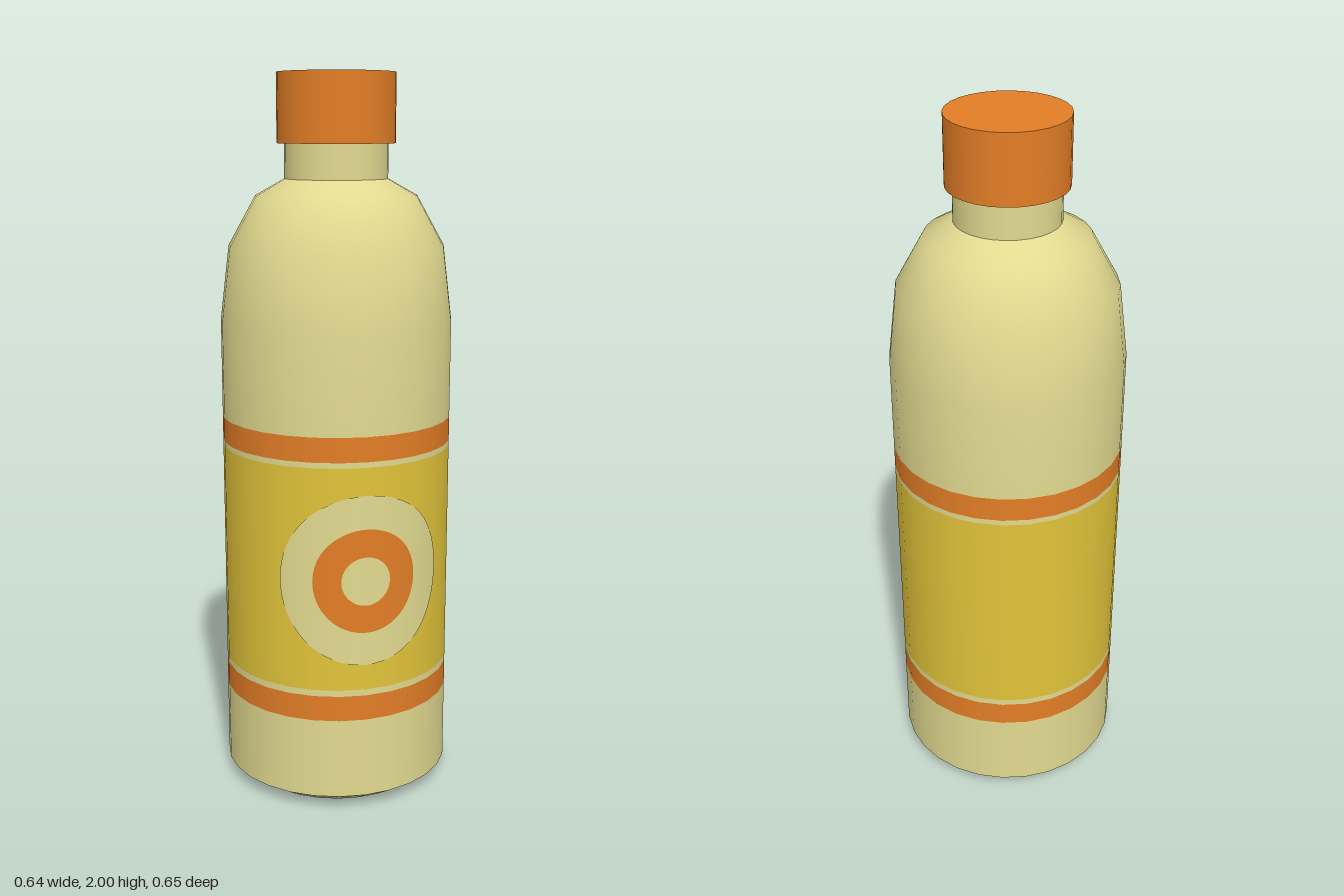
import * as THREE from 'three';

const SIDES = 28;
const R = 0.322;

export function createModel() {
  const model = new THREE.Group();
  model.name = 'bottle';

  const material = (name, color) => {
    const m = new THREE.MeshStandardMaterial({ color });
    m.name = name;
    return m;
  };
  const cream = material('cream', 0xe2da90);
  const yellow = material('yellow', 0xe2c43a);
  const orange = material('orange', 0xe37e26);

  const add = (name, geometry, mat) => {
    const mesh = new THREE.Mesh(geometry, mat);
    mesh.name = name;
    model.add(mesh);
  };
  // Profiles run upward as [radius, height] pairs
  const turn = (name, profile, mat) => add(name,
    new THREE.LatheGeometry(profile.map(([r, y]) => new THREE.Vector2(r, y)), SIDES), mat);
  const band = (name, y0, y1, mat, r = R) => turn(name, [[r, y0], [r, y1]], mat);

  // Base with chamfered foot
  turn('base', [[0, 0], [0.26, 0], [R, 0.04]], cream);

  // Straight body, split into its coloured bands
  band('lowerBody', 0.04, 0.268, cream);
  band('lowerOrangeBand', 0.268, 0.34, orange);
  band('lowerCreamStripe', 0.34, 0.358, cream);
  band('label', 0.358, 0.985, yellow);
  band('upperCreamStripe', 0.985, 1.0, cream);
  band('upperOrangeBand', 1.0, 1.068, orange);

  // Shoulder and neck
  turn('shoulder', [[R, 1.068], [R, 1.335], [0.297, 1.54], [0.222, 1.675], [0.142, 1.72]], cream);
  band('neck', 1.72, 1.82, cream, 0.142);

  // Screw cap
  const cap = new THREE.CylinderGeometry(0.162, 0.162, 0.186, SIDES);
  cap.translate(0, 1.907, 0);
  add('cap', cap, orange);

  // Target emblem: flat rings wrapped round the front of the label
  const wrappedRing = (name, inner, outer, mat) => {
    const g = new THREE.RingGeometry(inner, outer, 64, 8);
    const p = g.attributes.position, n = g.attributes.normal;
    for (let i = 0; i < p.count; i++) {
      const a = p.getX(i) / R;
      const r = R + 0.002;
      p.setXYZ(i, r * Math.sin(a), p.getY(i) + 0.67, r * Math.cos(a));
      n.setXYZ(i, Math.sin(a), 0, Math.cos(a));
    }
    add(name, g, mat);
  };
  wrappedRing('emblemCentre', 0, 0.068, cream);
  wrappedRing('emblemRing', 0.068, 0.146, orange);
  wrappedRing('emblemBorder', 0.146, 0.239, cream);

  return model;
}
